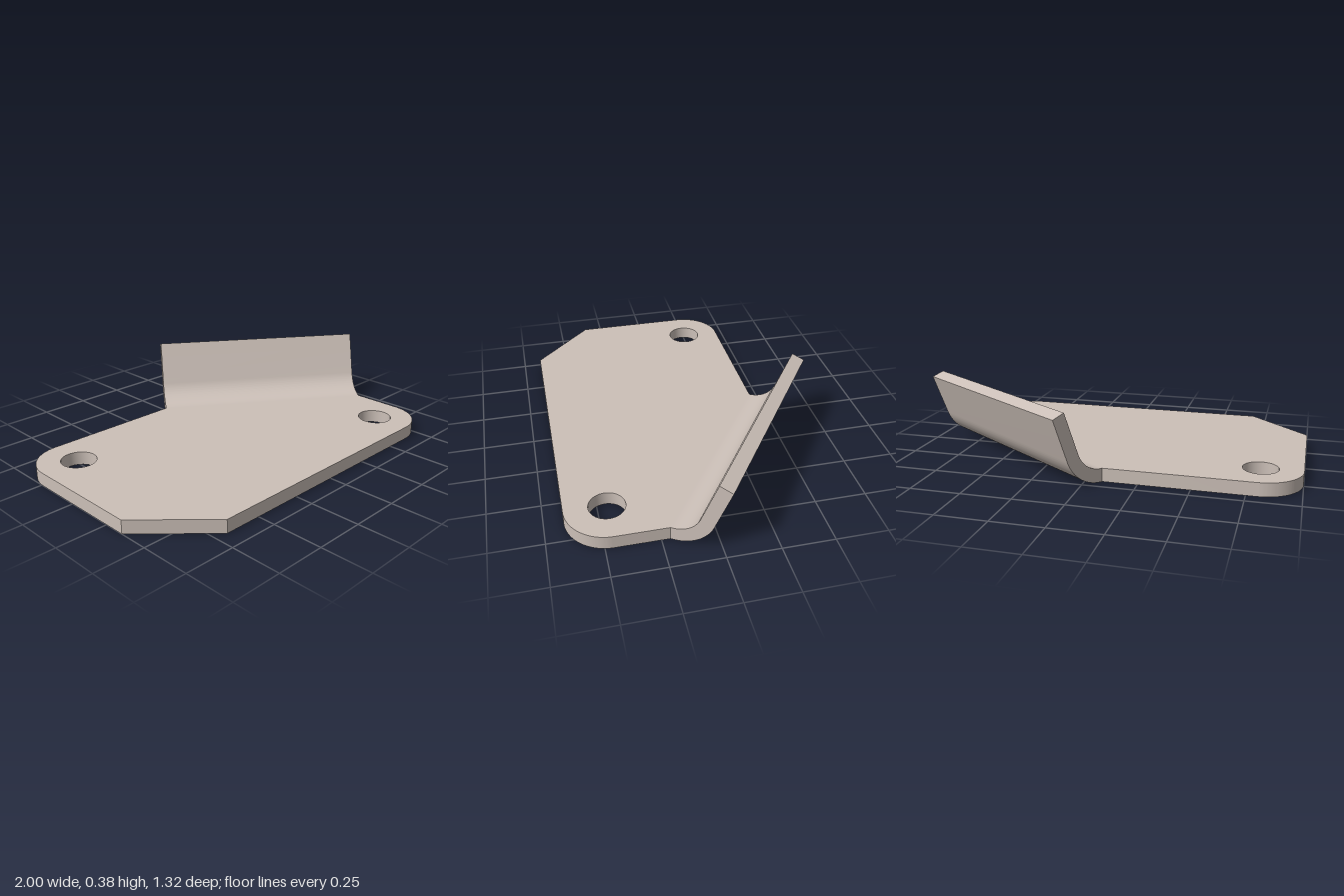
import * as THREE from 'three';
import { toCreasedNormals } from 'three/addons/utils/BufferGeometryUtils.js';

const T = 0.067; // sheet thickness
const BEND_START = new THREE.Vector3(-0.08, 0, -0.434);
const BEND_END = new THREE.Vector3(0.837, 0, 0.21);
const material = new THREE.MeshStandardMaterial({ color: 0xccc0b8 });

function extrude(shape, depth) {
  const geometry = new THREE.ExtrudeGeometry(shape, { depth, bevelEnabled: false, curveSegments: 24 });
  return toCreasedNormals(geometry, 0.5);
}

// Flat plate: two rounded corners, one chamfer, a slanted bend edge and two holes
function makePlate() {
  const r = 0.2, left = -1, right = BEND_END.x, back = 0.434, front = -0.66;
  const s = new THREE.Shape();
  s.moveTo(left, -0.355);
  s.lineTo(-0.69, front);
  s.lineTo(right - r, front);
  s.absarc(right - r, front + r, r, -Math.PI / 2, 0, false);
  s.lineTo(right, -BEND_END.z);
  s.lineTo(BEND_START.x, back);
  s.lineTo(left + r, back);
  s.absarc(left + r, back - r, r, Math.PI / 2, Math.PI, false);
  s.closePath();
  for (const [x, y] of [[left + r, back - r], [right - r, front + r]]) {
    s.holes.push(new THREE.Path().absarc(x, y, 0.086, 0, Math.PI * 2, true));
  }
  const mesh = new THREE.Mesh(extrude(s, T).rotateX(-Math.PI / 2), material);
  mesh.name = 'plate';
  return mesh;
}

// Bent flange: constant-thickness profile swept along the bend line
function makeFlange() {
  const r = 0.147, angle = THREE.MathUtils.degToRad(70), straight = 0.225;
  const cy = T + r, a0 = -Math.PI / 2, a1 = a0 + angle;
  const dx = Math.cos(angle) * straight, dy = Math.sin(angle) * straight;
  const end = (radius) => [Math.cos(a1) * radius + dx, cy + Math.sin(a1) * radius + dy];
  const s = new THREE.Shape();
  s.moveTo(0, 0);
  s.absarc(0, cy, r + T, a0, a1, false);
  s.lineTo(...end(r + T));
  s.lineTo(...end(r));
  s.absarc(0, cy, r, a1, a0, true);
  s.closePath();

  const along = BEND_END.clone().sub(BEND_START);
  const length = along.length();
  along.normalize();
  const up = new THREE.Vector3(0, 1, 0);
  const outward = up.clone().cross(along);
  const mesh = new THREE.Mesh(extrude(s, length), material);
  mesh.quaternion.setFromRotationMatrix(new THREE.Matrix4().makeBasis(outward, up, along));
  mesh.position.copy(BEND_START);
  mesh.name = 'bentFlange';
  return mesh;
}

export function createModel() {
  const group = new THREE.Group();
  group.name = 'angledBracket';
  group.add(makePlate(), makeFlange());
  return group;
}
